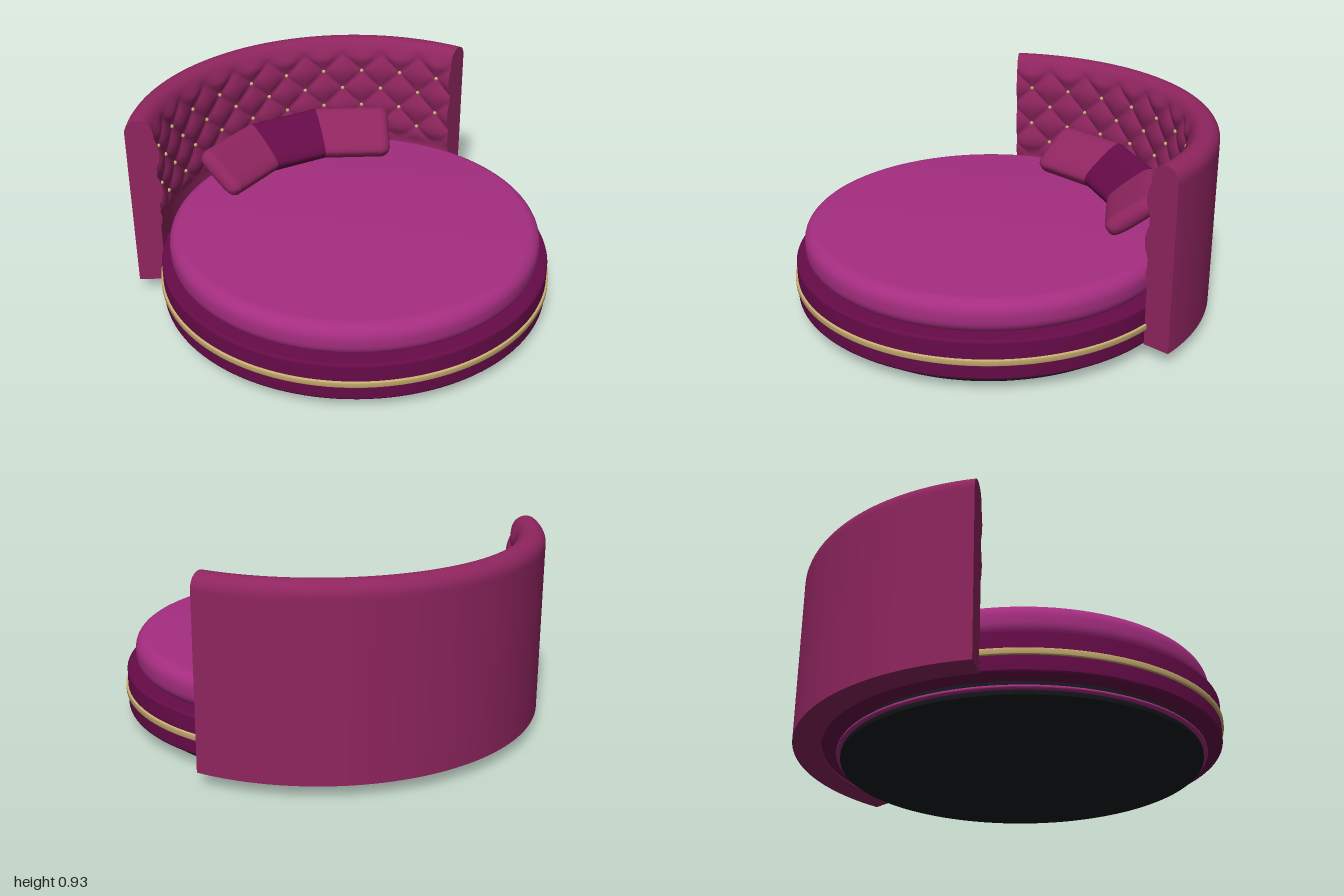
import * as THREE from 'three';
import { mergeVertices, toCreasedNormals } from 'three/addons/utils/BufferGeometryUtils.js';

const material = (name, color) => Object.assign(new THREE.MeshStandardMaterial({ color }), { name });
const rad = THREE.MathUtils.degToRad;
const lerp = THREE.MathUtils.lerp;
const CZ = 0.06; // z of the axis shared by bed and headboard

// Surface from a rule (u, v) -> [x, y, z]; it faces du x dv
function grid(rule, nu, nv) {
  const pos = [], index = [];
  for (let i = 0; i <= nu; i++) for (let j = 0; j <= nv; j++) pos.push(...rule(i / nu, j / nv));
  for (let i = 0; i < nu; i++) for (let j = 0; j < nv; j++) {
    const a = i * (nv + 1) + j, b = a + nv + 1;
    index.push(a, b, a + 1, b, b + 1, a + 1);
  }
  let geo = new THREE.BufferGeometry();
  geo.setAttribute('position', new THREE.Float32BufferAttribute(pos, 3));
  geo.setIndex(index);
  geo = mergeVertices(geo, 1e-5);
  geo.computeVertexNormals();
  return geo;
}

// Round slab with softened rims
function disc(radius, y0, y1, rim) {
  const pts = [new THREE.Vector2(0, y0)];
  for (const [cy, start] of [[y0 + rim, -90], [y1 - rim, 0]]) {
    for (let i = 0; i <= 8; i++) {
      const t = rad(start + i * 11.25);
      pts.push(new THREE.Vector2(radius - rim + rim * Math.cos(t), cy + rim * Math.sin(t)));
    }
  }
  pts.push(new THREE.Vector2(0, y1));
  return toCreasedNormals(new THREE.LatheGeometry(pts, 128), 0.6);
}

// Headboard dimensions and tufting lattice
const R_IN = 0.93, R_OUT = 1.06, Y_LOW = 0.06, Y_TOP = 0.93;
const HALF = rad(61.8), STEP = rad(12.6), ROW = 0.1, ROW0 = 0.46;
const ROUND = (R_OUT - R_IN) / 2, WALL = 0.86; // share of the profile that is straight wall

function tuft(theta, y) {
  const u = theta / STEP, v = (y - ROW0) / (2 * ROW);
  const diamond = Math.abs(Math.sin(Math.PI * (u + v)) * Math.sin(Math.PI * (u - v)));
  const fade = THREE.MathUtils.smoothstep(y, 0.36, 0.44) * (1 - THREE.MathUtils.smoothstep(y, 0.82, 0.9));
  return 0.024 * Math.pow(diamond, 0.6) * fade;
}

// Radius and height on the inner or outer face, k from foot to crest
function profile(theta, k, inner) {
  const mid = R_IN + ROUND, yArc = Y_TOP - ROUND;
  let half = ROUND, y;
  if (k < WALL) y = lerp(Y_LOW, yArc, k / WALL);
  else {
    const t = ((k - WALL) / (1 - WALL)) * Math.PI / 2;
    half = ROUND * Math.cos(t);
    y = yArc + ROUND * Math.sin(t);
  }
  return inner ? [mid - half - tuft(theta, y), y] : [mid + half, y];
}
const around = (theta, r, y) => [r * Math.sin(theta), y, CZ - r * Math.cos(theta)];

// Cushion: a leaning section swept along three mitred lengths
const LEAN = rad(54), BEND = rad(26), MITRE = Math.tan(BEND / 2);
const JOINT_X = 0.165, JOINT_Y = 0.517, JOINT_Z = -0.613, SIDE_LENGTH = 0.365;

function section(v, inset) {
  const t = v * Math.PI * 2, c = Math.cos(t), s = Math.sin(t);
  const soft = (n) => Math.sign(n) * Math.pow(Math.abs(n), 2 / 3.5);
  const a = (0.135 - inset) * soft(s), b = Math.max(0, 0.05 - inset) * soft(c);
  return [b * Math.cos(LEAN) - a * Math.sin(LEAN), b * Math.sin(LEAN) + a * Math.cos(LEAN)];
}

function sideCushion(side) {
  const edge = 0.05;
  return grid((u0, v) => {
    const u = side > 0 ? u0 : 1 - u0;
    // first part straight, last part rounding over to the end
    const t = Math.max(0, (u - 0.4) / 0.6) * Math.PI / 2;
    const inset = edge * (1 - Math.cos(t));
    const [d, y] = section(v, inset);
    const start = d * MITRE, bodyEnd = SIDE_LENGTH - edge;
    const along = u < 0.4 ? lerp(start, bodyEnd, u / 0.4) : bodyEnd + edge * Math.sin(t);
    return [
      side * (JOINT_X + along * Math.cos(BEND) - d * Math.sin(BEND)),
      JOINT_Y + y,
      JOINT_Z + along * Math.sin(BEND) + d * Math.cos(BEND),
    ];
  }, 20, 48);
}

export function createModel() {
  const model = new THREE.Group();
  model.name = 'roundBed';
  const plum = material('plum velvet', 0x8f255f);
  const magenta = material('magenta velvet', 0xa52d80);
  const dark = material('dark plum', 0x660b48);
  const gold = material('gold trim', 0xc8ae70);
  const black = material('black plinth', 0x17181e);
  const add = (name, geo, mat, parent = model) => {
    const mesh = new THREE.Mesh(geo, mat);
    mesh.name = name;
    parent.add(mesh);
    return mesh;
  };

  // Stacked round bed
  const slabs = [
    ['plinth', 0.84, 0, 0.07, 0.003, black],
    ['plinthRing', 0.86, 0.022, 0.038, 0.007, magenta],
    ['base', 0.93, 0.06, 0.25, 0.012, dark],
    ['goldBand', 0.94, 0.135, 0.163, 0.003, gold],
    ['mattress', 0.885, 0.245, 0.403, 0.065, magenta],
  ];
  for (const [name, r, y0, y1, rim, mat] of slabs) add(name, disc(r, y0, y1, rim), mat).position.z = CZ;

  // Curved headboard: skin, underside and two end faces
  const headboard = new THREE.Group();
  headboard.name = 'headboard';
  model.add(headboard);
  const angle = (u) => lerp(-HALF, HALF, u);
  add('tuftedFace', grid((u, v) => around(angle(u), ...profile(angle(u), v, true)), 220, 100), plum, headboard);
  add('outerFace', grid((u, v) => around(angle(u), ...profile(angle(u), 1 - v, false)), 96, 56), plum, headboard);
  add('underside', grid((u, v) => around(angle(u), lerp(R_OUT, R_IN, v), Y_LOW), 96, 1), plum, headboard);
  for (const side of [1, -1]) {
    const theta = side * HALF;
    add(side > 0 ? 'leftEnd' : 'rightEnd', grid((u, v) => {
      const [rIn, y] = profile(theta, u, true), [rOut] = profile(theta, u, false);
      return around(theta, side > 0 ? lerp(rOut, rIn, v) : lerp(rIn, rOut, v), y);
    }, 100, 1), plum, headboard);
  }

  // Gold buttons in staggered rows
  const buttonGeo = new THREE.SphereGeometry(0.01, 10, 8);
  for (let row = 0; row < 4; row++) {
    for (let i = -5; i <= 5; i++) {
      const theta = (i + (row % 2) / 2) * STEP;
      if (Math.abs(theta) > rad(58)) continue;
      add('button', buttonGeo, gold, headboard).position.set(...around(theta, R_IN - 0.004, ROW0 + row * ROW));
    }
  }

  // Three-part cushion
  const cushion = new THREE.Group();
  cushion.name = 'cushion';
  model.add(cushion);
  add('cushionCentre', grid((u, v) => {
    const [d, y] = section(v, 0);
    return [lerp(-1, 1, u) * (JOINT_X - d * MITRE), JOINT_Y + y, JOINT_Z + d];
  }, 4, 48), dark, cushion);
  add('cushionLeft', sideCushion(1), plum, cushion);
  add('cushionRight', sideCushion(-1), plum, cushion);
  return model;
}
